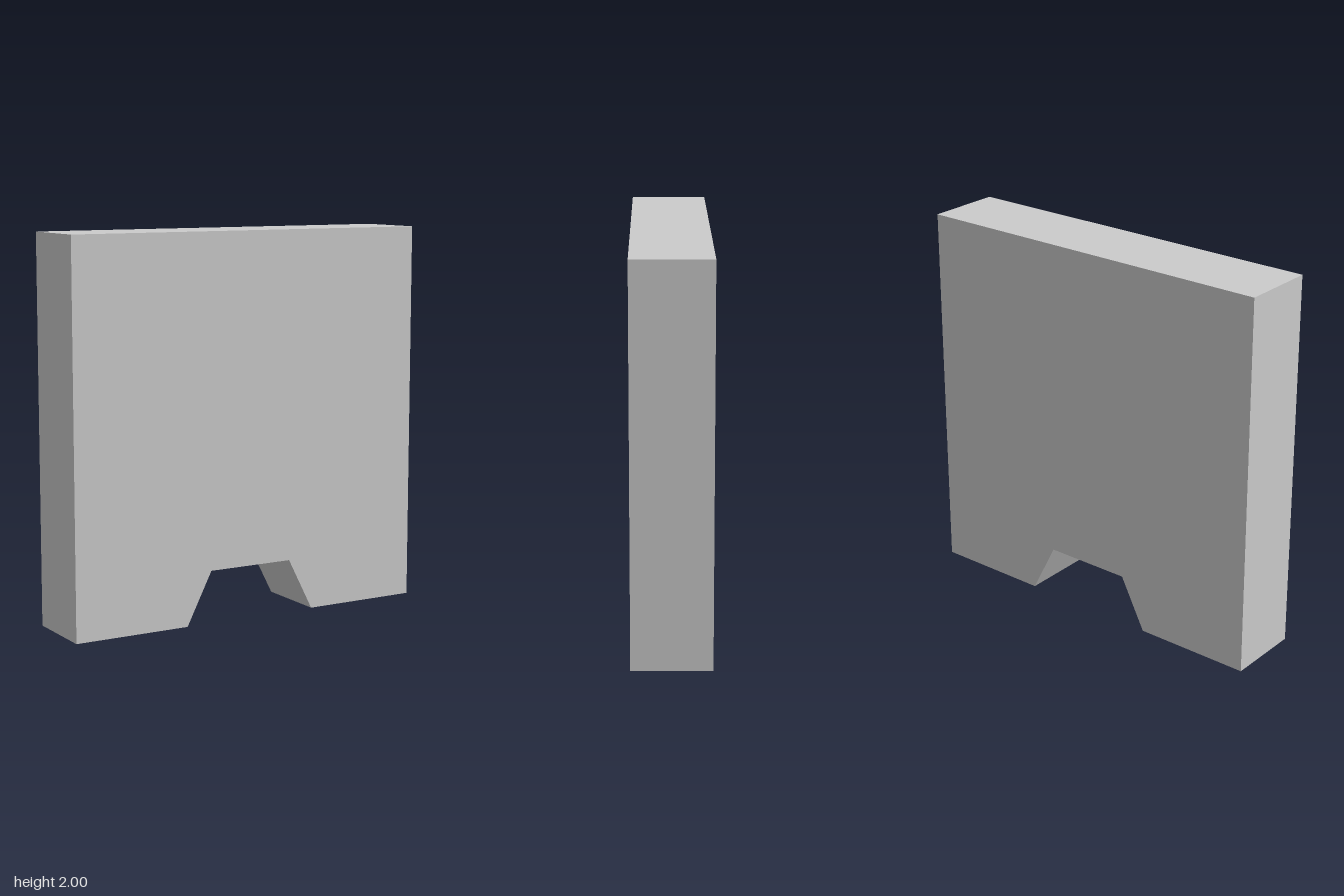
import * as THREE from 'three';

export function createModel() {
  const group = new THREE.Group();
  group.name = 'notchedWallPanel';

  const depth = 0.4;
  const notch = { halfBottom: 0.375, halfTop: 0.235, height: 0.275 };

  // Square outline with a trapezoidal opening in the bottom edge
  const outline = new THREE.Shape([
    [-1, 0],
    [-notch.halfBottom, 0],
    [-notch.halfTop, notch.height],
    [notch.halfTop, notch.height],
    [notch.halfBottom, 0],
    [1, 0],
    [1, 2],
    [-1, 2],
  ].map(([x, y]) => new THREE.Vector2(x, y)));

  // Slab, centred front to back
  const geometry = new THREE.ExtrudeGeometry(outline, { depth, bevelEnabled: false });
  geometry.translate(0, 0, -depth / 2);

  const material = new THREE.MeshStandardMaterial({ color: 0xcccccc, flatShading: true });
  const panel = new THREE.Mesh(geometry, material);
  panel.name = 'panel';
  group.add(panel);

  return group;
}
